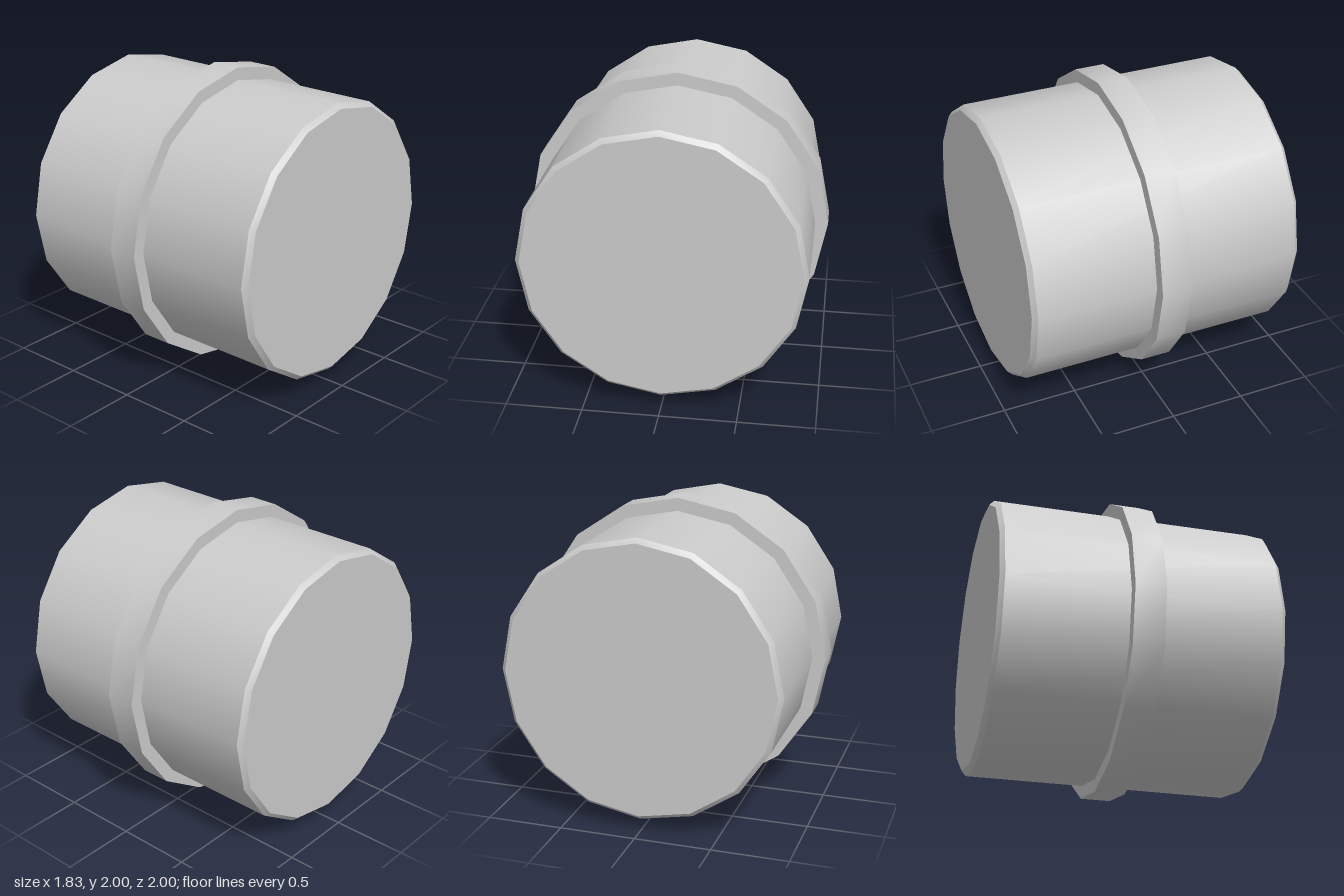
import * as THREE from 'three';
import { toCreasedNormals } from 'three/addons/utils/BufferGeometryUtils.js';

const SIDES = 16;
const BODY = 0.915;   // body radius and half length
const BEVEL = 0.03;
const RING = 1;       // collar radius
const RING_HALF = 0.1;

const material = new THREE.MeshStandardMaterial({ color: 0xcccccc });

// Revolves a [radius, position] profile around the x axis, smooth around and sharp at edges
function revolve(name, profile) {
  const points = profile.map(([r, a]) => new THREE.Vector2(r, a));
  const lathe = new THREE.LatheGeometry(points, SIDES).rotateZ(-Math.PI / 2);
  const mesh = new THREE.Mesh(toCreasedNormals(lathe, 0.6), material);
  mesh.name = name;
  mesh.position.y = RING;
  return mesh;
}

export function createModel() {
  const group = new THREE.Group();
  group.name = 'collaredCylinder';

  // Closed drum with bevelled ends
  group.add(revolve('body', [
    [0, -BODY],
    [BODY - BEVEL, -BODY],
    [BODY, -BODY + BEVEL],
    [BODY, BODY - BEVEL],
    [BODY - BEVEL, BODY],
    [0, BODY],
  ]));

  // Raised band around the middle
  group.add(revolve('collar', [
    [BODY, -RING_HALF],
    [RING, -RING_HALF],
    [RING, RING_HALF],
    [BODY, RING_HALF],
  ]));

  return group;
}
